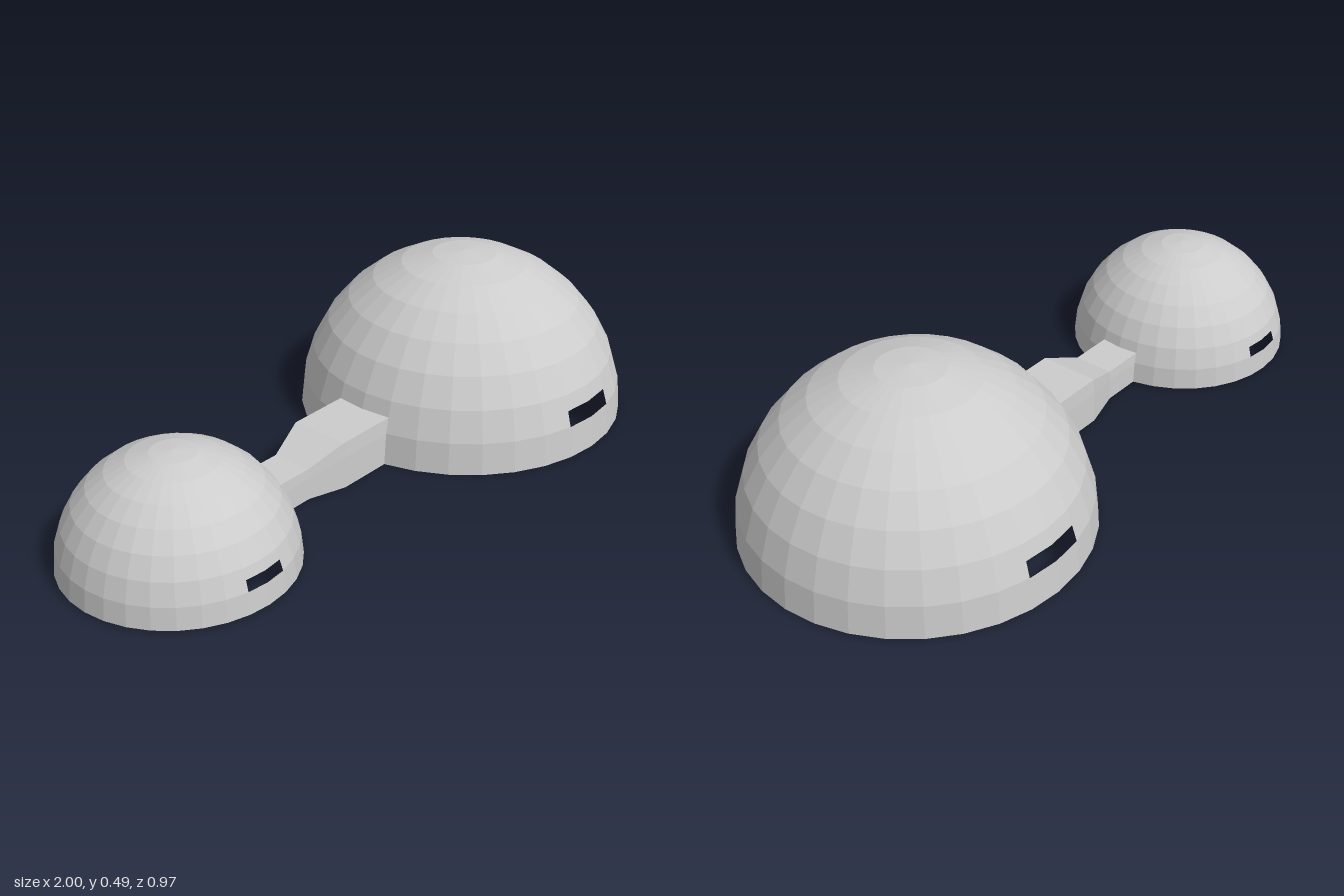
import * as THREE from 'three';

const SEGMENTS = 32;
// Ring steps from rim to crown; the half step marks the lintel of the openings
const RINGS = [0, 1, 1.5, 2, 3, 4, 5, 6, 7, 8];

const shell = new THREE.MeshStandardMaterial({ color: 0xcccccc, flatShading: true, side: THREE.DoubleSide });
shell.name = 'shell grey';

const BIG = { x: 0.515, y: 0, r: 0.485, door: 16 };
const SMALL = { x: -0.677, y: 0.003, r: 0.323, door: 0 };

// Point on a faceted dome; half steps lie on the flat facet between two rings
function domePoint(dome, ring, seg) {
  const at = (k) => {
    const lat = (k / 8) * Math.PI / 2;
    const lon = (seg / SEGMENTS) * Math.PI * 2;
    return new THREE.Vector3(
      dome.x + dome.r * Math.cos(lat) * Math.cos(lon),
      dome.y + dome.r * Math.sin(lat),
      dome.r * Math.cos(lat) * Math.sin(lon));
  };
  return at(Math.floor(ring)).lerp(at(Math.ceil(ring)), ring % 1);
}

function meshFromQuads(name, quads) {
  const pos = [];
  for (const [a, b, c, d] of quads) {
    for (const tri of [[a, b, c], [a, c, d]]) {
      if (tri[0].distanceTo(tri[1]) < 1e-6 || tri[1].distanceTo(tri[2]) < 1e-6) continue;
      for (const p of tri) pos.push(p.x, p.y, p.z);
    }
  }
  const geo = new THREE.BufferGeometry();
  geo.setAttribute('position', new THREE.Float32BufferAttribute(pos, 3));
  geo.computeVertexNormals();
  const mesh = new THREE.Mesh(geo, shell);
  mesh.name = name;
  return mesh;
}

// Hollow dome, open below, with a window front and back and a doorway
function makeDome(name, dome) {
  const beside = (seg, centre) => seg === centre || seg === (centre + SEGMENTS - 1) % SEGMENTS;
  const quads = [];
  for (let i = 0; i < RINGS.length - 1; i++) {
    for (let j = 0; j < SEGMENTS; j++) {
      const isWindow = i === 1 && (beside(j, 8) || beside(j, 24));
      const isDoor = i < 2 && beside(j, dome.door);
      if (isWindow || isDoor) continue;
      quads.push([
        domePoint(dome, RINGS[i], j), domePoint(dome, RINGS[i + 1], j),
        domePoint(dome, RINGS[i + 1], j + 1), domePoint(dome, RINGS[i], j + 1)]);
    }
  }
  return meshFromQuads(name, quads);
}

// Outline of a doorway: floor centre, up the +z jamb, across, down the -z jamb
function doorLoop(dome) {
  const s = dome.door === 0 ? 1 : -1;
  return [[0, 0], [0, 1], [1, 1], [1.5, 1], [1.5, 0], [1.5, -1], [1, -1], [0, -1]]
    .map(([ring, side]) => domePoint(dome, ring, dome.door + s * side));
}

// Open-ended passage with a floor, widening from the small door to the big one
function makePassage() {
  const slice = (loop, x) => loop.map((p) => new THREE.Vector3(x, p.y, p.z));
  const small = doorLoop(SMALL);
  const big = doorLoop(BIG);
  const sections = [small, slice(small, -0.245), slice(big, -0.13), big];
  const quads = [];
  for (let i = 0; i < sections.length - 1; i++) {
    const a = sections[i], b = sections[i + 1];
    for (let k = 0; k < a.length; k++) {
      const n = (k + 1) % a.length;
      quads.push([a[k], b[k], b[n], a[n]]);
    }
  }
  return meshFromQuads('passage', quads);
}

export function createModel() {
  const group = new THREE.Group();
  group.name = 'twinDomes';
  group.add(makeDome('largeDome', BIG), makeDome('smallDome', SMALL), makePassage());
  return group;
}
